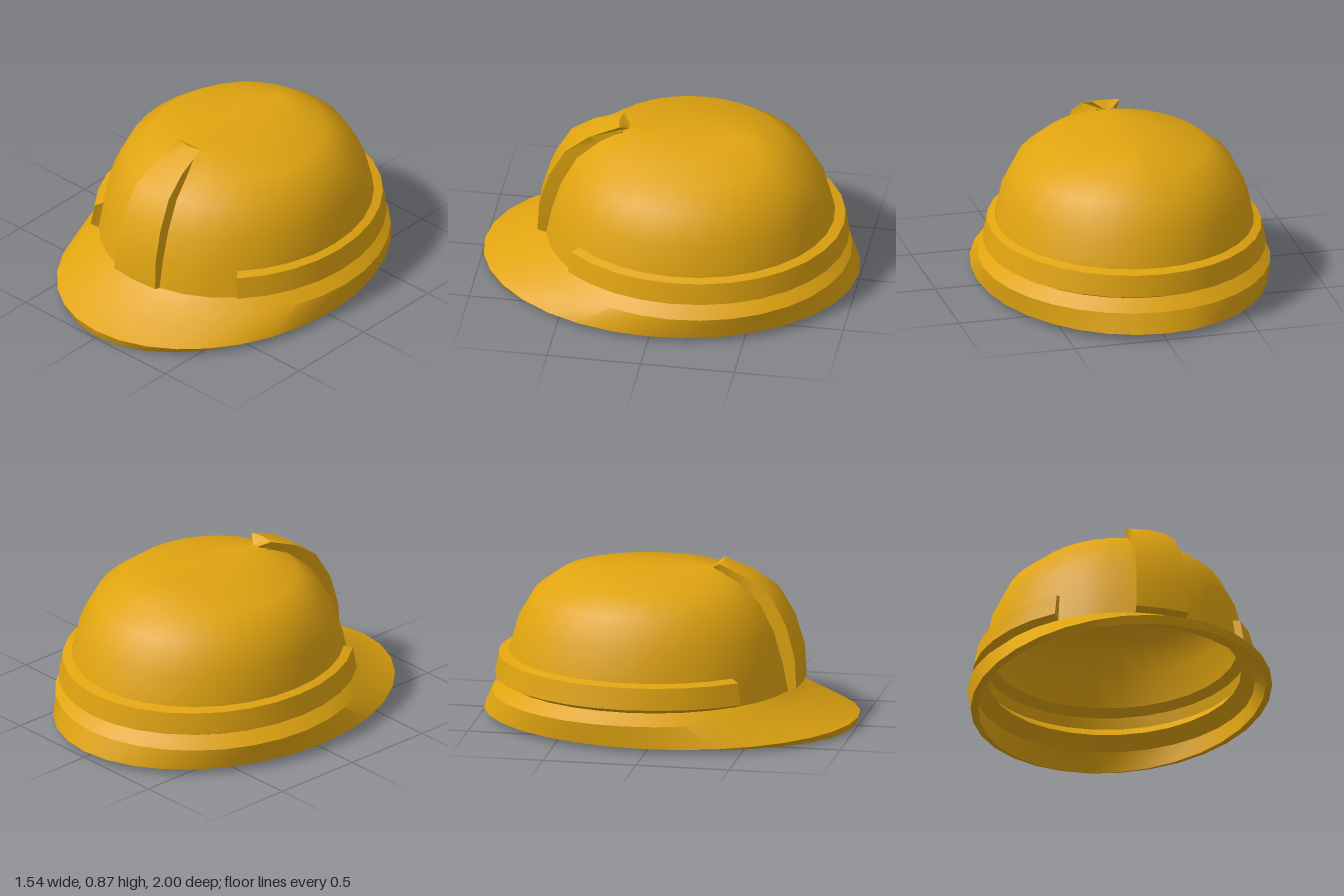
import * as THREE from 'three';
import { toCreasedNormals } from 'three/addons/utils/BufferGeometryUtils.js';

const SEGMENTS = 32;
const BAND_START = 4, BAND_END = SEGMENTS - BAND_START;
const material = new THREE.MeshStandardMaterial({ color: 0xe0a410, side: THREE.DoubleSide });

// Point on an elliptical ring; step 0 is the front, rising towards +x.
// The height may differ at the front, side and back.
function ringPoint({ rx, front, back, y }, step) {
  const a = (step / SEGMENTS) * Math.PI * 2;
  const c = Math.cos(a);
  const [yFront, ySide, yBack] = Array.isArray(y) ? y : [y, y, y];
  const yEnd = c > 0 ? yFront : yBack;
  return [
    rx * Math.sin(a),
    ySide + (yEnd - ySide) * c * c,
    (front + back) / 2 + ((front - back) / 2) * c,
  ];
}

const ringRow = (ring) => Array.from({ length: SEGMENTS + 1 }, (_, k) => ringPoint(ring, k));

// Ring moved inwards and down, for the inside of the shell
const inset = (ring, [inward, down]) => ({
  rx: ring.rx - inward,
  front: ring.front - inward,
  back: ring.back + inward,
  y: Array.isArray(ring.y) ? ring.y.map((v) => v - down) : ring.y - down,
});

// Surface through rows of points, listed bottom to top and left to right.
function surface(name, rows, crease, skip = () => false) {
  const positions = [];
  for (let i = 0; i < rows.length - 1; i++) {
    for (let j = 0; j < rows[i].length - 1; j++) {
      if (skip(i, j)) continue;
      const a = rows[i][j], b = rows[i][j + 1];
      const c = rows[i + 1][j + 1], d = rows[i + 1][j];
      positions.push(...a, ...b, ...c, ...a, ...c, ...d);
    }
  }
  const geometry = new THREE.BufferGeometry();
  geometry.setAttribute('position', new THREE.Float32BufferAttribute(positions, 3));
  const mesh = new THREE.Mesh(toCreasedNormals(geometry, crease), material);
  mesh.name = name;
  return mesh;
}

// One skin of the shell: dome, side band and front ridge
function createSkin(name, dome, bandEdges, ridge, endInset) {
  const skin = new THREE.Group();
  skin.name = name;

  // The dome is open behind the front ridge and the side band
  skin.add(surface('dome', dome.map(ringRow), 0.56, (i, j) =>
    (i < 5 && (j === 0 || j === SEGMENTS - 1)) || (i === 0 && j >= BAND_START && j < BAND_END)));

  // Raised band around the sides and back, with closed ends
  const steps = [BAND_START + endInset];
  for (let j = BAND_START + 1; j < BAND_END; j++) steps.push(j);
  steps.push(BAND_END - endInset);
  const bandRows = [dome[0], ...bandEdges, dome[1]].map((ring, i) => {
    const root = i < 2 ? dome[0] : dome[1];
    return [ringPoint(root, BAND_START), ...steps.map((s) => ringPoint(ring, s)), ringPoint(root, BAND_END)];
  });
  skin.add(surface('sideBand', bandRows, 0.56));

  // Tapered ridge on the front, rooted in the dome
  const [left, middle, right] = [-1, 0, 1].map((s) => (i) => ringPoint(dome[i], s));
  const rootRow = (i) => [left(i), left(i), middle(i), right(i), right(i)];
  const ridgeRows = ridge.map(([w, y, z], i) =>
    [left(i), [-w, y, z - 0.012], [0, y, z], [w, y, z - 0.012], right(i)]);
  skin.add(surface('frontRidge', [rootRow(0), ...ridgeRows, rootRow(5)], 0.9));
  return skin;
}

export function createModel() {
  const group = new THREE.Group();
  group.name = 'hardHat';

  // Dome rings, bottom to crown; the last closes the flat crown to a line
  const dome = [
    { rx: 0.7, front: 0.665, back: -0.885, y: [0.208, 0.2, 0.2] },
    { rx: 0.68, front: 0.635, back: -0.865, y: 0.355 },
    { rx: 0.645, front: 0.585, back: -0.82, y: 0.52 },
    { rx: 0.565, front: 0.5, back: -0.73, y: 0.675 },
    { rx: 0.44, front: 0.385, back: -0.6, y: 0.77 },
    { rx: 0.085, front: 0.23, back: -0.46, y: 0.83 },
    { rx: 0, front: 0.23, back: -0.46, y: 0.83 },
  ];
  const domeInsets = [[0.042, 0.012], [0.036, 0.018], [0.041, 0.017], [0.032, 0.031],
    [0.018, 0.041], [0, 0.045], [0, 0.045]];
  const innerDome = dome.map((ring, i) => inset(ring, domeInsets[i]));

  // Lower and upper outer edges of the band
  const bandEdges = [
    { rx: 0.742, front: 0.71, back: -0.94, y: 0.225 },
    { rx: 0.72, front: 0.69, back: -0.92, y: 0.34 },
  ];
  const innerBandEdges = [inset(bandEdges[0], [0.04, -0.02]), inset(bandEdges[1], [0.03, 0.034])];

  // Half width, height and depth of the ridge's outer face
  const ridge = [
    [0.147, 0.227, 0.707],
    [0.142, 0.39, 0.698],
    [0.132, 0.56, 0.65],
    [0.114, 0.71, 0.565],
    [0.094, 0.8, 0.44],
    [0.076, 0.866, 0.28],
  ];
  const ridgeInsets = [[-0.015, 0.04], [0.005, 0.044], [0.013, 0.042], [0.027, 0.035], [0.037, 0.024], [0.043, 0.005]];
  const innerRidge = ridge.map(([w, y, z], i) => [w - 0.03, y - ridgeInsets[i][0], z - ridgeInsets[i][1]]);

  group.add(createSkin('outerShell', dome, bandEdges, ridge, 0));
  group.add(createSkin('innerShell', innerDome, innerBandEdges, innerRidge, 0.25));

  // Thick brim with a long front peak: underside, rim, then upper side
  const brim = [
    innerDome[0],
    { rx: 0.727, front: 0.708, back: -0.915, y: [0.112, 0.123, 0.12] },
    { rx: 0.732, front: 0.985, back: -0.962, y: [0, 0.02, 0.02] },
    { rx: 0.77, front: 1, back: -1, y: [0.046, 0.026, 0.035] },
    { rx: 0.768, front: 0.73, back: -0.955, y: [0.15, 0.143, 0.14] },
    dome[0],
  ];
  group.add(surface('brim', brim.map(ringRow), 0.4));

  return group;
}
